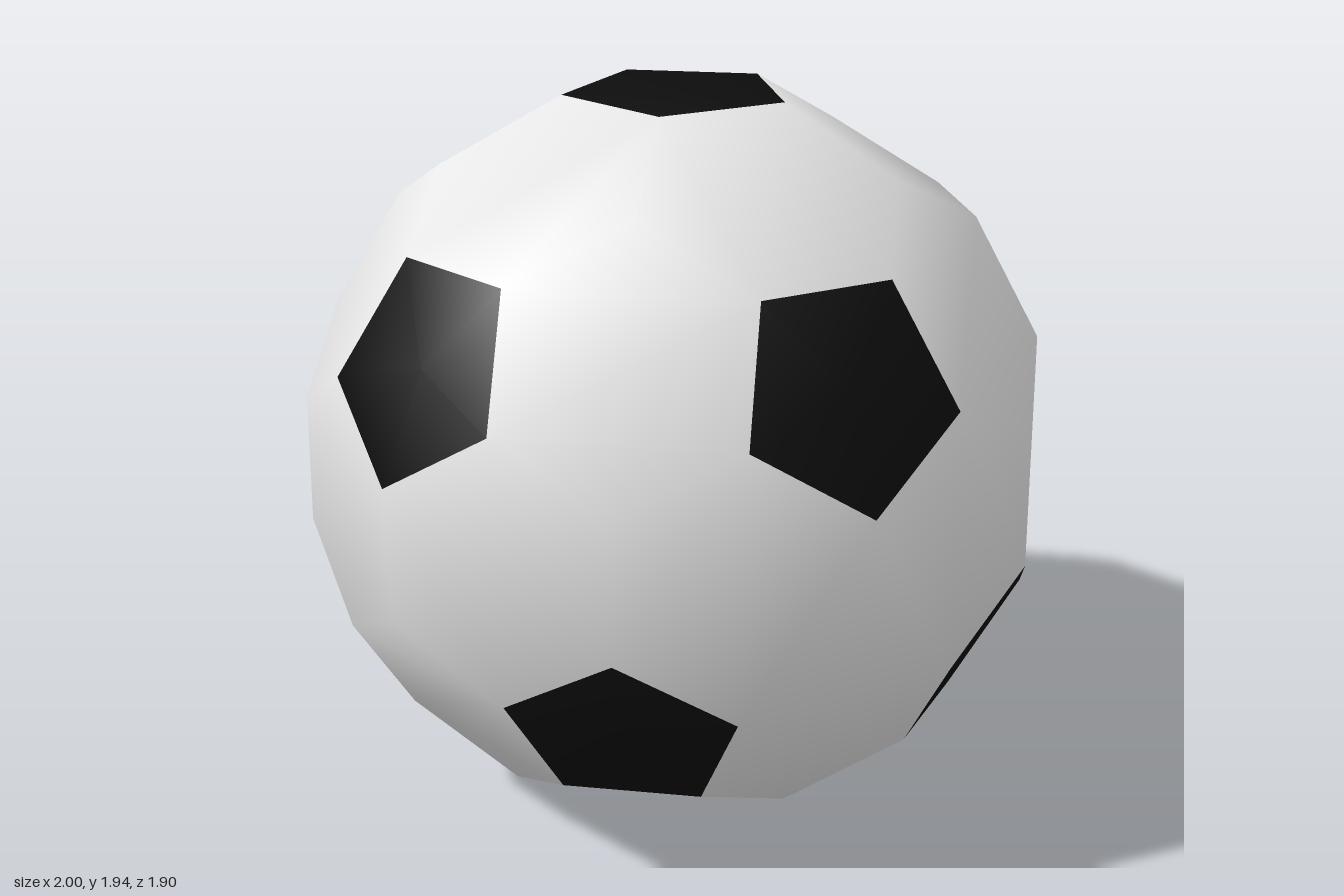
import * as THREE from 'three';

const FACE_DIST = 0.968;   // centre to pentagon plane
const PENT_RADIUS = 0.3;   // pentagon corner radius
const CORNER_DIST = 1.01;  // centre to points shared by three white panels

const white = new THREE.MeshStandardMaterial({ color: 0xe7e7e7 });
white.name = 'white';
const black = new THREE.MeshStandardMaterial({ color: 0x0d0d0d });
black.name = 'black';

// Faceted panel with round-ball normals; triangles are wound outward
function panel(name, triangles, material) {
  const pos = [], nor = [];
  for (const [a, b, c] of triangles) {
    const n = b.clone().sub(a).cross(c.clone().sub(a));
    const tri = n.dot(a) > 0 ? [a, b, c] : [a, c, b];
    for (const p of tri) {
      pos.push(p.x, p.y, p.z);
      nor.push(...p.clone().normalize().toArray());
    }
  }
  const g = new THREE.BufferGeometry();
  g.setAttribute('position', new THREE.Float32BufferAttribute(pos, 3));
  g.setAttribute('normal', new THREE.Float32BufferAttribute(nor, 3));
  const mesh = new THREE.Mesh(g, material);
  mesh.name = name;
  return mesh;
}

// Directions of the twelve pentagons: two poles and two rings of five
function pentagonAxes() {
  const axes = [new THREE.Vector3(0, 1, 0), new THREE.Vector3(0, -1, 0)];
  const h = 1 / Math.sqrt(5), r = 2 / Math.sqrt(5);
  for (let i = 0; i < 5; i++) {
    const a = (i * 2 * Math.PI) / 5;
    const v = new THREE.Vector3(r * Math.cos(a), h, r * Math.sin(a));
    axes.push(v, v.clone().negate());
  }
  return axes;
}

export function createModel() {
  const model = new THREE.Group();
  model.name = 'ball';
  const axes = pentagonAxes();
  const near = (a, b) => a !== b && a.dot(b) > 0.4;

  // Direction between three neighbouring pentagons
  const between = (a, b, c) => a.clone().add(b).add(c).normalize();
  // Corner of pentagon a that points toward direction d
  const corner = (a, d) => d.clone().addScaledVector(a, -a.dot(d))
    .setLength(PENT_RADIUS).addScaledVector(a, FACE_DIST);

  // Black pentagons
  for (const a of axes) {
    const around = axes.filter((b) => near(a, b));
    const centre = a.clone().multiplyScalar(FACE_DIST);
    const tris = [];
    for (const b of around) {
      const [c, d] = around.filter((o) => near(b, o));
      tris.push([centre, corner(a, between(a, b, c)), corner(a, between(a, b, d))]);
    }
    model.add(panel('blackPentagon', tris, black));
  }

  // White six-sided panels, one between each pair of neighbouring pentagons
  axes.forEach((a, i) => axes.slice(i + 1).forEach((b) => {
    if (!near(a, b)) return;
    const [d, e] = axes.filter((o) => near(a, o) && near(b, o)).map((o) => between(a, b, o));
    const a1 = corner(a, d), a2 = corner(a, e), b1 = corner(b, d), b2 = corner(b, e);
    model.add(panel('whitePanel', [
      [a1, a2, b2], [a1, b2, b1],
      [d.clone().multiplyScalar(CORNER_DIST), a1, b1],
      [e.clone().multiplyScalar(CORNER_DIST), a2, b2],
    ], white));
  }));

  // Rest the ball on the ground
  for (const m of model.children) m.position.y = FACE_DIST;
  return model;
}
